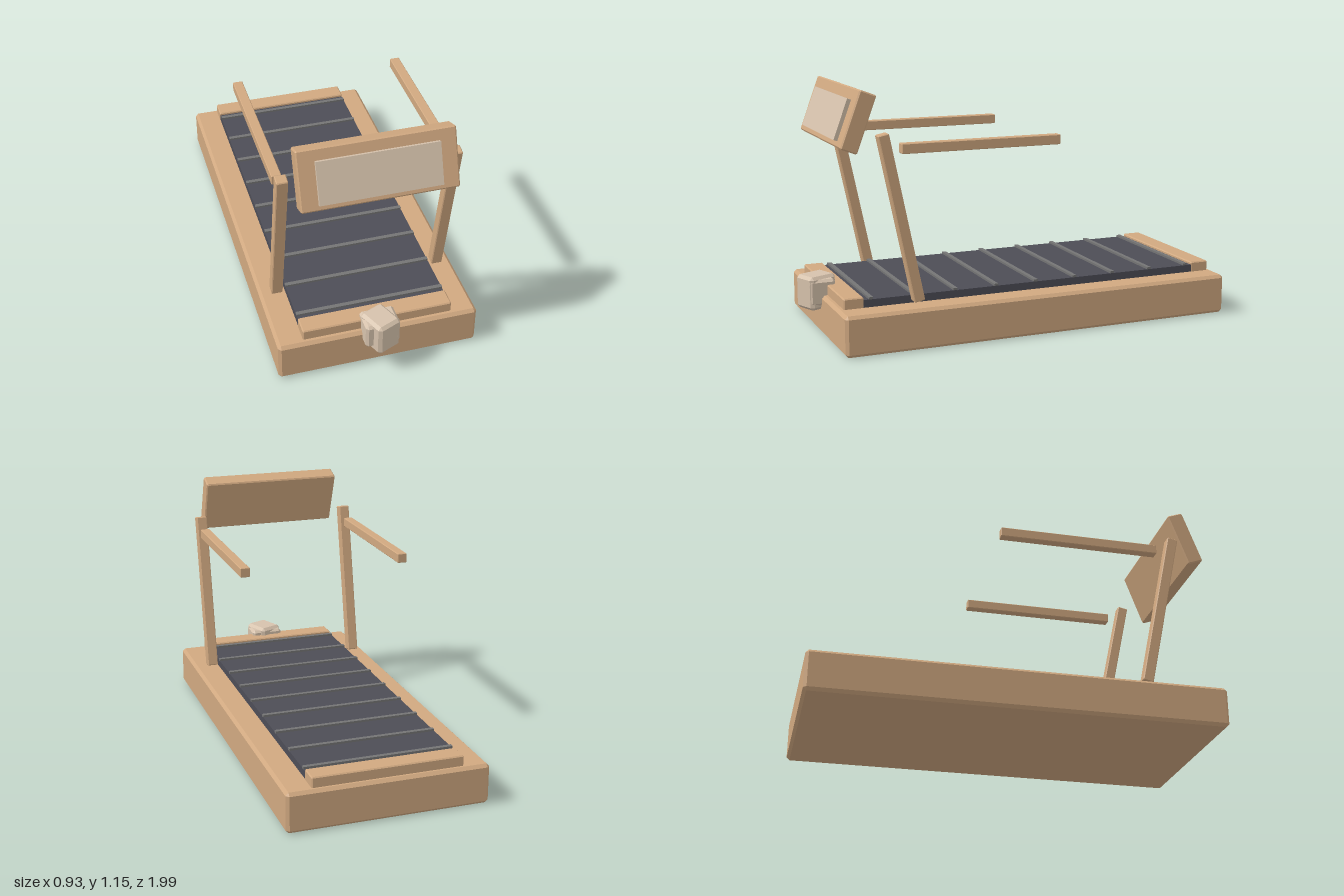
import * as THREE from 'three';
import { ConvexGeometry } from 'three/addons/geometries/ConvexGeometry.js';

// Box with chamfered edges: each corner is cut by one small triangle
function chamferBox(w, h, d, c) {
  const points = [];
  for (const sx of [-1, 1]) for (const sy of [-1, 1]) for (const sz of [-1, 1]) {
    const x = w / 2, y = h / 2, z = d / 2;
    points.push(
      new THREE.Vector3(sx * x, sy * (y - c), sz * (z - c)),
      new THREE.Vector3(sx * (x - c), sy * y, sz * (z - c)),
      new THREE.Vector3(sx * (x - c), sy * (y - c), sz * z));
  }
  return new ConvexGeometry(points);
}

function material(name, color) {
  const m = new THREE.MeshStandardMaterial({ color });
  m.name = name;
  return m;
}

export function createModel() {
  const model = new THREE.Group();
  model.name = 'treadmill';

  const tan = material('tan frame', 0xd0a880);
  const pale = material('pale beige', 0xd6c2ac);
  const dark = material('dark belt', 0x4d4d56);
  const grey = material('grey slat', 0x747474);

  function add(name, geometry, mat, x, y, z, parent = model) {
    const mesh = new THREE.Mesh(geometry, mat);
    mesh.name = name;
    mesh.position.set(x, y, z);
    parent.add(mesh);
    return mesh;
  }

  // Deck with end covers
  add('deck', chamferBox(0.93, 0.187, 1.9, 0.014), tan, 0, 0.0935, -0.045);
  add('frontCover', chamferBox(0.694, 0.07, 0.092, 0.005), tan, 0, 0.2, 0.832);
  add('backCover', chamferBox(0.694, 0.07, 0.092, 0.005), tan, 0, 0.2, -0.926);

  // Running belt with raised cross slats
  add('belt', new THREE.BoxGeometry(0.69, 0.05, 1.67), dark, 0, 0.197, -0.048);
  for (let i = 0; i < 9; i++) {
    add('beltSlat', new THREE.BoxGeometry(0.69, 0.012, 0.02), grey, 0, 0.226, 0.753 - 0.2 * i);
  }

  // Leaning posts and level handrails, mirrored
  for (const [side, s] of [['left', 1], ['right', -1]]) {
    const post = add(side + 'Post', chamferBox(0.052, 0.77, 0.05, 0.004), tan, s * 0.387, 0.584, 0.625);
    post.rotation.x = 0.205;
    add(side + 'Handrail', chamferBox(0.045, 0.045, 0.757, 0.003), tan, s * 0.387, 0.894, 0.241);
  }

  // Tilted console with a raised screen
  const consoleGroup = new THREE.Group();
  consoleGroup.name = 'console';
  consoleGroup.position.set(0, 1.011, 0.794);
  consoleGroup.rotation.x = -0.355;
  model.add(consoleGroup);
  add('consoleBody', chamferBox(0.694, 0.27, 0.08, 0.006), tan, 0, 0, 0, consoleGroup);
  add('screen', new THREE.BoxGeometry(0.54, 0.19, 0.018), pale, 0, -0.013, 0.049, consoleGroup);

  // Motor at the nose: a turned block crossing a straight one
  const motor = new THREE.Group();
  motor.name = 'motor';
  motor.position.set(0, 0.195, 0.91);
  model.add(motor);
  const block = add('motorBlock', chamferBox(0.122, 0.156, 0.144, 0.014), pale, 0, 0, 0, motor);
  block.rotation.y = 0.4;
  add('motorCore', chamferBox(0.158, 0.122, 0.122, 0.012), pale, 0, 0.004, -0.011, motor);

  return model;
}
